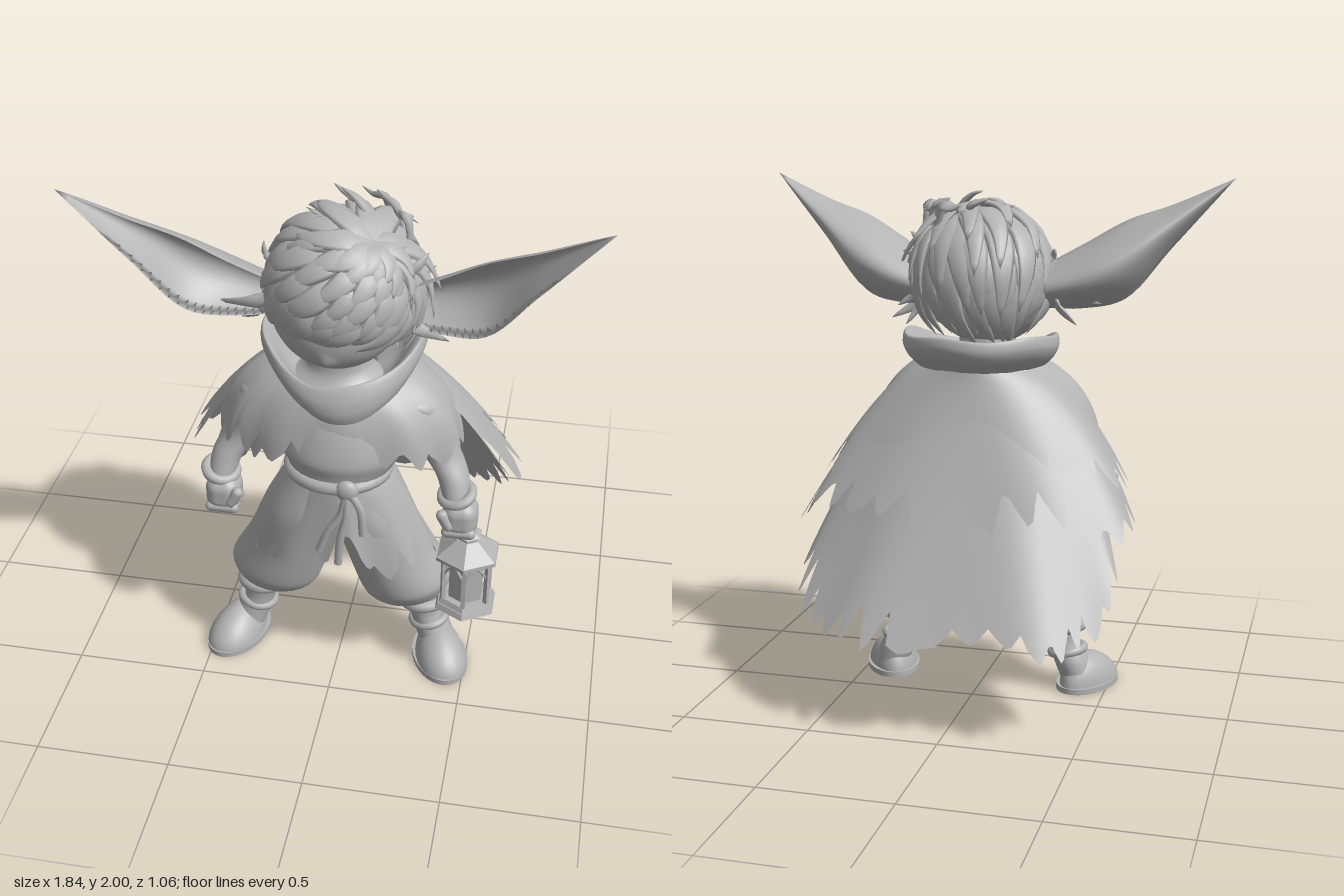
import * as THREE from 'three';
import { mergeGeometries, mergeVertices } from 'three/addons/utils/BufferGeometryUtils.js';
import { RoundedBoxGeometry } from 'three/addons/geometries/RoundedBoxGeometry.js';

const V = (x, y, z) => new THREE.Vector3(x, y, z);
const { sin, cos, PI, pow, max, min, abs, sign } = Math;
const mix = (a, b, t) => a + (b - a) * t;

// Repeatable pseudo-random value for an index
const rnd = i => { const s = sin(i * 127.1 + 11.7) * 43758.5453; return s - Math.floor(s); };

// Smooth surface from a rule f(u, v) -> Vector3
function grid(f, nu, nv) {
  const pos = [], idx = [];
  for (let j = 0; j <= nv; j++) for (let i = 0; i <= nu; i++) pos.push(...f(i / nu, j / nv).toArray());
  for (let j = 0; j < nv; j++) for (let i = 0; i < nu; i++) {
    const a = j * (nu + 1) + i, b = a + nu + 1;
    idx.push(a, b, a + 1, a + 1, b, b + 1);
  }
  const g = new THREE.BufferGeometry();
  g.setAttribute('position', new THREE.Float32BufferAttribute(pos, 3));
  g.setIndex(idx);
  const m = mergeVertices(g, 1e-5);
  m.computeVertexNormals();
  return m;
}

// Soft body from rows of [x, y, z, radiusX, radiusZ], horizontal ellipses; side mirrors x
function body(rows, side = 1, nu = 28) {
  const c = new THREE.CatmullRomCurve3(rows.map(r => V(side * r[0], r[1], r[2])));
  const w = new THREE.CatmullRomCurve3(rows.map(r => V(r[3], r[4], 0)));
  return grid((u, v) => {
    const p = c.getPoint(v), r = w.getPoint(v), a = -u * 2 * PI;
    return V(p.x + r.x * sin(a), p.y, p.z + r.y * cos(a));
  }, nu, rows.length * 5);
}

// Cloth whose lower edge is torn into pointed teeth of uneven depth
function cloth(f, teeth, tear, seed, nv = 14) {
  const shape = [0.95, 0.6, 0.15, 0, 0.35, 0.75], n = teeth * 6;
  return grid((u, v) => {
    const i = Math.round(u * n) % n, k = Math.floor(i / 6);
    const cut = tear * (shape[i % 6] * (0.15 + 0.85 * rnd(k + seed)) + 0.4 * rnd(Math.floor(k / 2) * 3 + seed));
    return f(u, v * (1 - cut));
  }, n, nv);
}

// Tapered, flattened lock of hair facing away from the head centre
const HEAD = V(0.02, 1.63, 0.24);
function lock(pts, width, thick) {
  const c = new THREE.CatmullRomCurve3(pts);
  return grid((u, v) => {
    const p = c.getPoint(v), T = c.getTangent(v), N = p.clone().sub(HEAD);
    N.addScaledVector(T, -N.dot(T)).normalize();
    const B = T.clone().cross(N), a = u * 2 * PI, k = pow(1 - v, 0.7) * min(1, 0.6 + v);
    return p.addScaledVector(B, cos(a) * width * k).addScaledVector(N, sin(a) * thick * k);
  }, 8, 9);
}

export function createModel() {
  const grey = new THREE.MeshStandardMaterial({ color: 0xb3b3b3, side: THREE.DoubleSide });
  grey.name = 'clay grey';
  const model = new THREE.Group();
  const add = (name, g, x = 0, y = 0, z = 0, parent = model) => {
    const m = new THREE.Mesh(g, grey);
    m.name = name;
    m.position.set(x, y, z);
    parent.add(m);
    return m;
  };
  const flat = g => { const n = g.toNonIndexed(); n.computeVertexNormals(); return n; };
  const tube = (pts, r, closed = false) =>
    new THREE.TubeGeometry(new THREE.CatmullRomCurve3(pts.map(p => V(...p)), closed), 24, r, 8, closed);
  const ring = (r, t, sz = 1) => new THREE.TorusGeometry(r, t, 10, 32).rotateX(PI / 2).scale(1, 1, sz);

  // Head with the jaw pushed forward and a small nose
  const head = new THREE.SphereGeometry(1, 48, 36), hp = head.attributes.position;
  for (let i = 0; i < hp.count; i++) {
    const x = hp.getX(i), y = hp.getY(i), z = hp.getZ(i);
    const nose = z > 0 ? 0.02 * Math.exp(-(x * x) / 0.008 - (y + 0.62) * (y + 0.62) / 0.01) : 0;
    hp.setXYZ(i, x * 0.245, y * 0.24, z * 0.22 + 0.045 * max(0, -y) * max(0, z + 0.4) + nose);
  }
  head.computeVertexNormals();
  add('head', head, 0, 1.6, 0.25);

  // Hair: cap, and locks sweeping from a parting at the front left of the crown down to the hairline
  const R = 0.25, pole = new THREE.Quaternion().setFromUnitVectors(V(0, 1, 0), V(0.45, 0.85, 0.28).normalize());
  add('hairCap', new THREE.SphereGeometry(0.255, 36, 20, 0, 2 * PI, 0, 2.0).rotateX(-0.45), HEAD.x, HEAD.y, HEAD.z);
  const dir = (phi, az) => V(sin(phi) * sin(az), cos(phi), sin(phi) * cos(az)).applyQuaternion(pole);
  const hairline = az => {
    let phi = 0.2;
    for (let d = dir(phi, az); d.y > -0.53 + 0.16 * d.z; d = dir(phi, az)) phi += 0.03;
    return phi;
  };
  const locks = [];
  [[0, 0.38, 9], [0.06, 0.52, 12], [0.2, 0.68, 15], [0.36, 0.84, 18], [0.52, 1, 21], [0.62, 1.04, 22]].forEach(([p0, p1, n], row) => {
    for (let i = 0; i < n; i++) {
      const az = (i + 0.5 * (row % 2) + 0.4 * rnd(i + row * 7)) / n * 2 * PI, h = rnd(i + row * 31), L = hairline(az);
      const end = L * (p1 + 0.12 * (h - 0.5)), tip = dir(end, az), back = min(1, max(0, 0.65 - 0.9 * tip.z));
      const up = mix(0.05, 0.3, back) * (0.5 + h) * (tip.y < -0.3 ? 0.6 : 1);
      const pts = [0, 0.33, 0.67, 1].map(t =>
        dir(mix(L * p0, end, t), az + 0.1 - (0.2 + 0.3 * h) * t * t).multiplyScalar(R * (1 + up * t * t + 0.06 * sin(PI * t))).add(HEAD));
      locks.push(lock(pts, 0.03 + 0.012 * L + 0.015 * h, 0.02));
    }
  });
  // Upright crown spikes curling to the right side
  [[0.12, 0.2, -0.01, 1.955], [0.2, 0.14, 0.1, 1.93], [0.24, 0.22, 0.19, 1.9], [0.06, 0.12, -0.05, 1.93], [0.08, 0.26, -0.12, 1.9], [0.16, 0.08, 0.04, 1.91]]
    .forEach(([x, z, tx, ty]) => locks.push(lock([V(x, 1.83, z), V(mix(x, tx, 0.25), 1.9, z - 0.01), V(mix(x, tx, 0.6), ty - 0.015, z - 0.03), V(tx, ty, z - 0.06)], 0.045, 0.02)));
  // Side tufts around the ears
  [[-1, 0.45, 1.53], [-1, 0.36, 1.45], [-1, 0.31, 1.51], [1, 0.39, 1.45], [1, 0.32, 1.43], [1, 0.34, 1.51],
    [1, 0.31, 1.79], [1, 0.33, 1.72], [-1, 0.28, 1.74]].forEach(([s, x, y], i) => {
    const z = 0.27 - 0.04 * (i % 3), y0 = y > 1.6 ? 1.68 : 1.62;
    locks.push(lock([V(s * 0.19, y0, z), V(s * 0.265, mix(y0, y, 0.55), z + 0.01), V(s * x, y, z - 0.03)], 0.045, 0.02));
  });
  add('hairLocks', mergeGeometries(locks));

  // Long pointed ears, cupped toward the front
  const upper = new THREE.CatmullRomCurve3([V(0.18, 1.65, 0.31), V(0.36, 1.75, 0.355), V(0.52, 1.84, 0.38), V(0.69, 1.9, 0.395), V(0.92, 2, 0.42)]);
  const lower = new THREE.CatmullRomCurve3([V(0.18, 1.51, 0.24), V(0.36, 1.505, 0.29), V(0.52, 1.54, 0.34), V(0.69, 1.735, 0.385), V(0.92, 2, 0.42)]);
  for (const s of [-1, 1]) add(s < 0 ? 'rightEar' : 'leftEar', grid((u, v) => {
    const back = u < 0.5, t = back ? 2 * u : 2 - 2 * u;
    const p = upper.getPoint(v).lerp(lower.getPoint(v), t), deep = 0.185 * pow(max(0, sin(PI * min(1, 0.18 + v * 0.82))), 0.9);
    p.z -= deep * pow(max(0, sin(PI * t)), 0.8) * (back ? 1 : 0.85);
    p.x *= s;
    return p;
  }, 32, 24));

  // Torso with blousing tunic, neck
  add('torso', body([[0.02, 0.6, 0.27, 0.06, 0.06], [0.02, 0.78, 0.29, 0.19, 0.16], [0.01, 0.92, 0.31, 0.18, 0.16],
    [0.02, 0.98, 0.31, 0.2, 0.17], [0.02, 1.04, 0.31, 0.225, 0.18], [0.02, 1.15, 0.3, 0.21, 0.16],
    [0, 1.25, 0.27, 0.23, 0.14], [0, 1.33, 0.24, 0.12, 0.11], [0, 1.45, 0.25, 0.1, 0.1]]));

  // Belt, knot and hanging sash ends
  add('belt', ring(0.175, 0.027, 0.93), 0.01, 0.94, 0.31);
  add('beltKnot', new THREE.SphereGeometry(0.042, 16, 12).scale(1, 1, 0.6), 0.07, 0.94, 0.48);
  [[[0.07, 0.94, 0.485], [0.05, 0.84, 0.49], [0, 0.75, 0.495], [-0.03, 0.67, 0.495]],
    [[0.07, 0.94, 0.485], [0.07, 0.84, 0.495], [0.05, 0.74, 0.5], [0.04, 0.62, 0.495]],
    [[0.08, 0.94, 0.485], [0.12, 0.87, 0.49], [0.13, 0.76, 0.49]]].forEach(p => add('sashEnd', tube(p, 0.015)));

  // Torn tunic skirt with a slit in front
  add('tunicSkirt', cloth((u, v) => {
    const a = u * 2 * PI + 0.12, c = cos(a), back = max(0, -c), k = pow(v, 0.8);
    const w = v * (1 - 0.5 * pow(max(0, cos(a - 0.15)), 60)), fold = 1 + 0.03 * v * sin(a * 9);
    return V(0.02 + sin(a) * mix(0.175, 0.36, k) * fold, mix(0.93, 0.52 - 0.17 * back, w),
      0.29 + c * mix(0.18, c > 0 ? 0.2 : 0.28, k) * fold);
  }, 18, 0.28, 5));

  for (const s of [-1, 1]) {
    const side = s < 0 ? 'right' : 'left';
    // Baggy trouser leg with a hem slanting down toward the inside
    const leg = body([[0.06, 0.93, 0.31, 0.12, 0.14], [0.12, 0.75, 0.29, 0.155, 0.17], [0.19, 0.55, 0.24, 0.165, 0.18],
      [0.25, 0.4, 0.215, 0.175, 0.18], [0.275, 0.325, 0.195, 0.15, 0.15], [0.31, 0.285, 0.185, 0.07, 0.07]], s), lp = leg.attributes.position;
    for (let i = 0; i < lp.count; i++)
      lp.setY(i, lp.getY(i) + 0.22 * (abs(lp.getX(i)) - 0.29) * min(1, max(0, (0.6 - lp.getY(i)) * 4)));
    leg.computeVertexNormals();
    add(side + 'TrouserLeg', leg);
    // Boot shaft, bands, shoe
    add(side + 'BootShaft', body([[0.385, 0.05, 0.2, 0.07, 0.085], [0.36, 0.12, 0.19, 0.07, 0.08], [0.33, 0.2, 0.19, 0.062, 0.07],
      [0.315, 0.31, 0.19, 0.085, 0.085]], s));
    add(side + 'BootCuff', ring(0.08, 0.026), s * 0.317, 0.265, 0.19);
    add(side + 'AnkleBand', ring(0.064, 0.018), s * 0.345, 0.155, 0.19).rotation.z = s * 0.2;
    const foot = new THREE.Group();
    foot.name = side + 'Foot';
    foot.position.set(s * 0.4 - (s < 0 ? 0.015 : 0), 0, 0.25);
    foot.rotation.y = s * 0.35;
    model.add(foot);
    const shoe = new THREE.SphereGeometry(1, 28, 20), q = shoe.attributes.position;
    for (let i = 0; i < q.count; i++) {
      const z = q.getZ(i);
      q.setXYZ(i, q.getX(i) * (0.098 + 0.015 * z), max(0, q.getY(i)) * (0.13 - 0.025 * z) + 0.005, z * 0.16);
    }
    shoe.computeVertexNormals();
    add('shoe', shoe, 0, 0, 0, foot);
    add('sole', new THREE.CylinderGeometry(1, 1, 0.022, 32).scale(0.106, 1, 0.165), 0, 0.011, 0, foot);

    // Arm, bracelet and fist
    add(side + 'Arm', body([[0.22, 1.26, 0.26, 0.04, 0.05], [0.28, 1.2, 0.25, 0.08, 0.085], [0.325, 1.08, 0.22, 0.08, 0.08],
      [0.37, 0.98, 0.215, 0.072, 0.075], [0.42, 0.9, 0.25, 0.06, 0.065], [0.44, 0.82, 0.285, 0.05, 0.055], [0.445, 0.76, 0.3, 0.04, 0.04]], s, 20));
    add(side + 'Bracelet', ring(0.056, 0.02), s * 0.443, 0.835, 0.285).rotation.set(0.25, 0, s * 0.25);
    const hand = new THREE.Group();
    hand.name = side + 'Hand';
    hand.position.set(s < 0 ? -0.43 : 0.46, 0.755, 0.3);
    model.add(hand);
    add('palm', new RoundedBoxGeometry(0.13, 0.14, 0.135, 4, 0.05), 0, 0, 0, hand);
    for (let i = 0; i < 4; i++)
      add('finger', new THREE.CapsuleGeometry(0.021, 0.085, 4, 10).rotateZ(PI / 2), 0, -0.05, -0.045 + i * 0.031, hand);
    add('thumb', new THREE.CapsuleGeometry(0.022, 0.05, 4, 10), -s * 0.05, 0.005, 0.055, hand).rotation.z = s * 0.5;
  }

  // Wide cowl collar: inside funnel, rolled rim, underside that drapes low in front
  const cowl = new THREE.CatmullRomCurve3([V(0.42, -0.13, 0), V(0.7, -0.08, 0), V(0.93, -0.005, 0), V(1, 0, 0), V(1.02, -0.035, 0), V(0.97, -0.075, 0), V(0.8, -0.13, 0)]);
  add('cowlCollar', grid((u, v) => {
    const a = u * 2 * PI, p = cowl.getPoint(v), f = max(0, cos(a)), low = f * f * max(0, v - 0.5) * 2;
    return V(0.295 * p.x * sin(a) + 0.04 * low, 1.425 - 0.1 * f * f + p.y - 0.03 * low + 0.006 * sin(a * 5),
      0.14 + 0.29 * p.x * cos(a) + 0.06 * (1 - p.x) + 0.05 * low);
  }, 56, 28));

  // Shoulder mantle
  add('shoulderMantle', cloth((u, v) => {
    const a = u * 2 * PI, c = cos(a), s = sin(v * PI / 2), fold = 1 + 0.025 * v * sin(a * 11);
    return V(sin(a) * mix(0.2, 0.45, s) * fold, mix(1.34 - 0.05 * max(0, c), 1.03 - 0.08 * max(0, -c) - 0.06 * abs(sin(a)), v * v * 0.6 + v * 0.4),
      mix(0.19, 0.2, v) + c * mix(0.21, 0.265, s) * fold);
  }, 20, 0.3, 40));

  // Layers of the torn cape; a squareness below 1 widens the corners of the hem
  const cape = (span, top, width, z0, depth, yBack, ySide, power, square) => (u, v) => {
    const a = (u - 0.5) * span, e = mix(1, square, v), fold = 1 + 0.02 * v * sin(a * 8 + top * 9);
    const s = sign(sin(a)) * pow(abs(sin(a)), e), c = sign(cos(a)) * pow(abs(cos(a)), e);
    return V(s * mix(0.24, width, pow(v, 0.8)) * fold,
      mix(top, mix(yBack, ySide, pow(abs(sin(a)), power)), v) + 0.02 * sin(PI * v),
      mix(0.13, z0, pow(v, 1.2)) - c * mix(0.22, depth, pow(v, 1.3)) * fold);
  };
  add('capeUpperLayer', cloth(cape(3.7, 1.3, 0.62, 0.04, 0.29, 0.88, 0.84, 2, 0.8), 15, 0.35, 71));
  add('capeMiddleLayer', cloth(cape(3.4, 1.29, 0.67, -0.04, 0.3, 0.72, 0.7, 2, 0.75), 14, 0.3, 97));
  add('capeLongLayer', cloth(cape(3.0, 1.28, 0.63, -0.13, 0.42, 0.34, 0.56, 14, 0.65), 16, 0.19, 133, 20));

  // Six-sided lantern hanging from the left hand
  const lantern = new THREE.Group();
  lantern.name = 'lantern';
  lantern.position.set(0.493, 0.34, 0.29);
  model.add(lantern);
  const hex = (name, rt, rb, h, y) => add(name, flat(new THREE.CylinderGeometry(rt, rb, h, 6)), 0, y, 0, lantern);
  hex('base', 0.115, 0.125, 0.022, 0.011);
  hex('baseStep', 0.1, 0.11, 0.02, 0.032);
  hex('glass', 0.07, 0.07, 0.19, 0.135);
  hex('upperFrame', 0.108, 0.1, 0.022, 0.222);
  hex('eave', 0.128, 0.128, 0.014, 0.238);
  hex('roof', 0.045, 0.124, 0.06, 0.275);
  hex('chimney', 0.04, 0.04, 0.025, 0.315);
  hex('cap', 0.012, 0.055, 0.025, 0.338);
  for (let i = 0; i < 6; i++) {
    const a = i * PI / 3, b = a + PI / 3, P = (t, y) => [0.094 * mix(sin(a), sin(b), t), y, 0.094 * mix(cos(a), cos(b), t)];
    add('post', new THREE.BoxGeometry(0.016, 0.18, 0.016), 0.094 * sin(a), 0.13, 0.094 * cos(a), lantern).rotation.y = a;
    add('windowArch', tube([P(0, 0.15), P(0.2, 0.185), P(0.5, 0.212), P(0.8, 0.185), P(1, 0.15)], 0.005), 0, 0, 0, lantern);
  }
  add('handle', tube([[0, 0.34, 0.028], [0, 0.39, 0.035], [-0.02, 0.43, 0], [0, 0.39, -0.035], [0, 0.34, -0.028]], 0.008, true), 0, 0, 0, lantern);
  return model;
}
